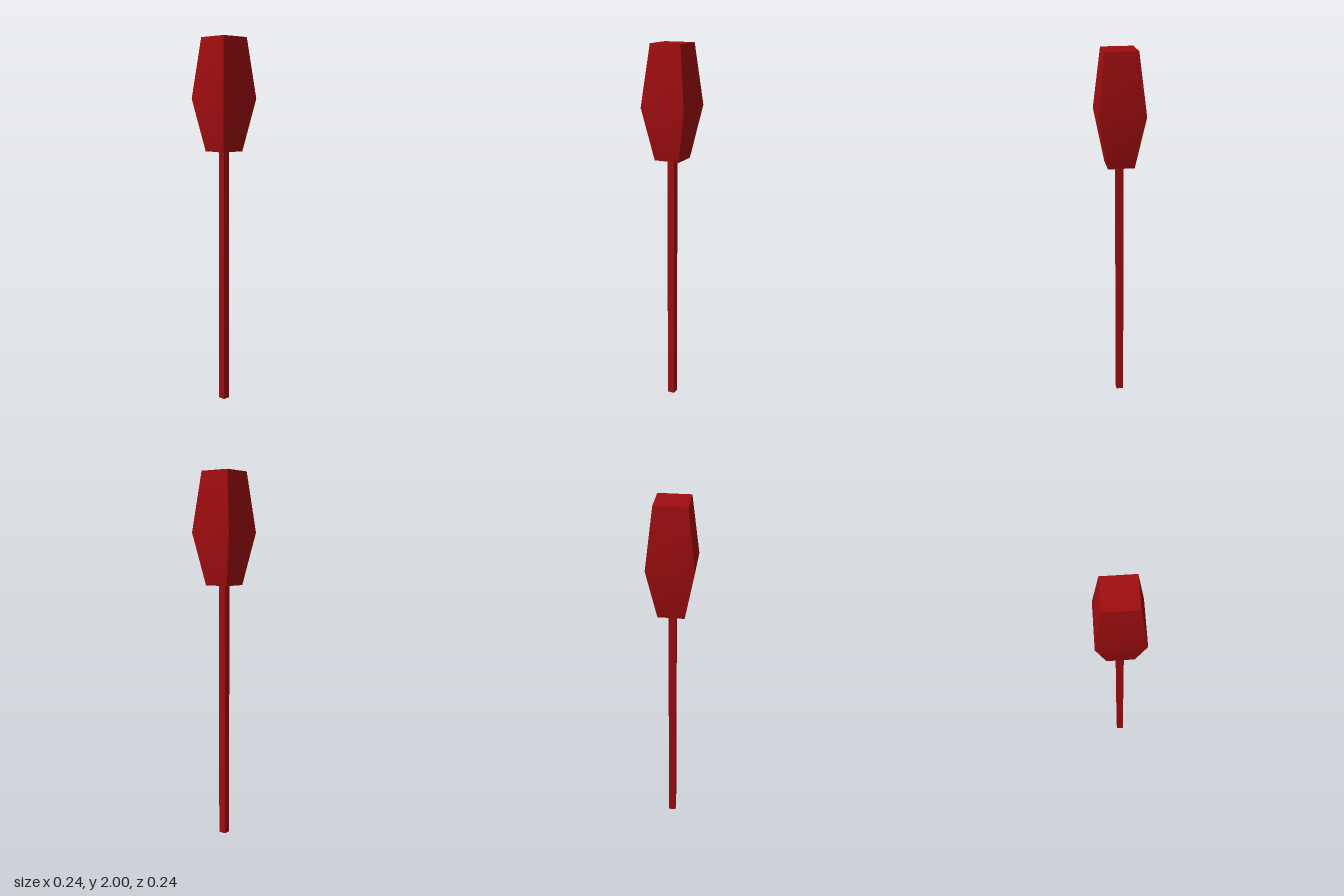
import * as THREE from 'three';

const STEM_HALF = 0.02, HEAD_BOTTOM = 1.4, HEAD_BELT = 1.68, HEAD_TOP = 2;

export function createModel() {
  const group = new THREE.Group();
  const red = new THREE.MeshStandardMaterial({ color: 0xa00d10 });

  // Square stem
  const stem = new THREE.Mesh(
    new THREE.BoxGeometry(STEM_HALF * 2, HEAD_BOTTOM, STEM_HALF * 2), red);
  stem.name = 'stem';
  stem.position.y = HEAD_BOTTOM / 2;
  group.add(stem);

  // Square head, widest at the belt; sides shade smoothly across it
  const rings = [
    { y: HEAD_BOTTOM, half: 0.07 },
    { y: HEAD_BELT, half: 0.122 },
    { y: HEAD_TOP, half: 0.085 },
  ];
  const geometry = new THREE.BoxGeometry(2, 2, 2, 1, 2, 1);
  const p = geometry.attributes.position;
  for (let i = 0; i < p.count; i++) {
    const { y, half } = rings[Math.round(p.getY(i)) + 1];
    p.setXYZ(i, p.getX(i) * half, y, p.getZ(i) * half);
  }
  geometry.computeVertexNormals();
  const head = new THREE.Mesh(geometry, red);
  head.name = 'head';
  group.add(head);

  return group;
}
